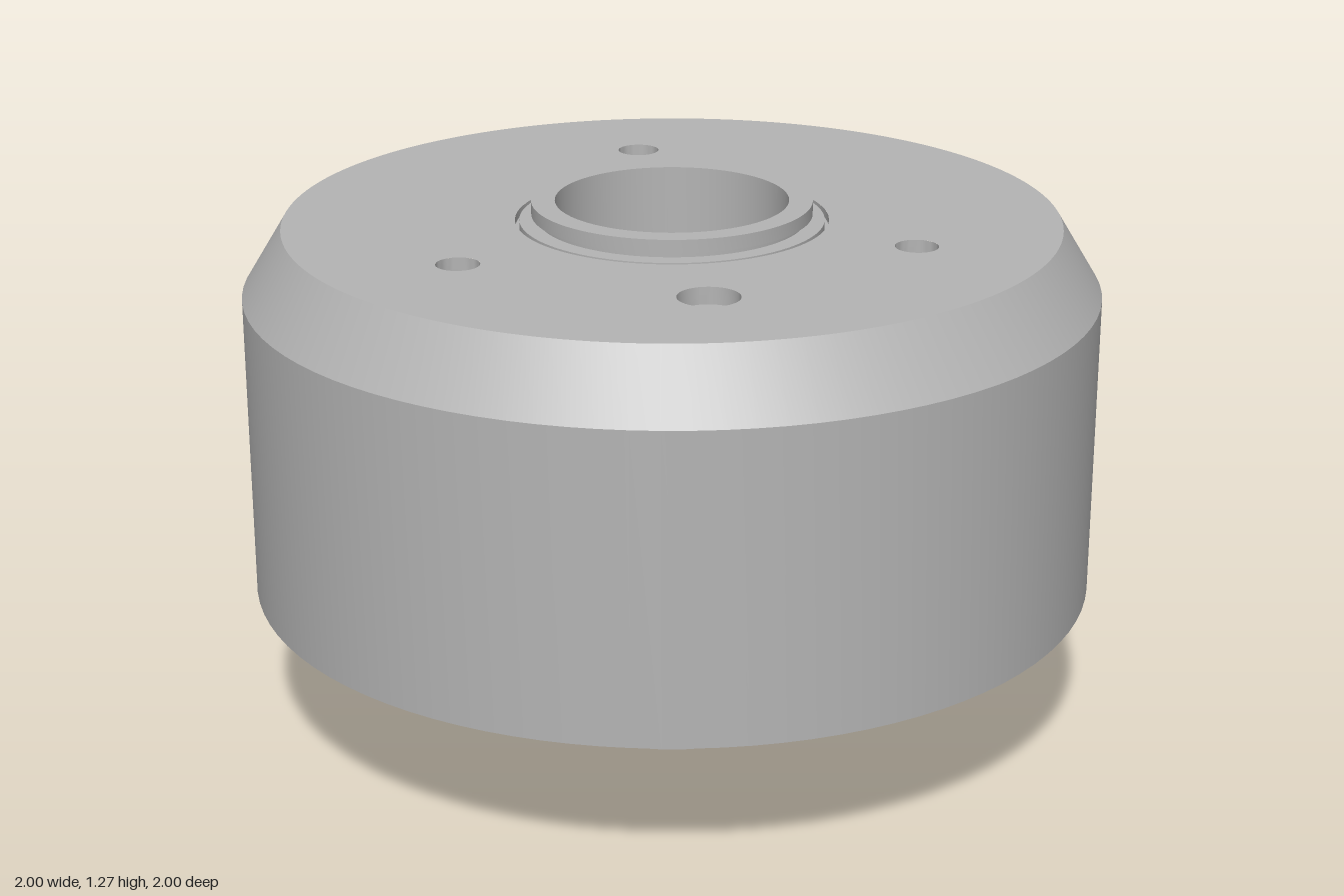
import * as THREE from 'three';
import { toCreasedNormals } from 'three/addons/utils/BufferGeometryUtils.js';

const SEGMENTS = 96;
const TOP = 1.23, RIM = 0.905, GROOVE = 0.365, BORE = 0.272;

export function createModel() {
  const group = new THREE.Group();
  const metal = new THREE.MeshStandardMaterial({ color: 0xb4b4b4 });
  metal.name = 'grey metal';

  function add(name, geometry) {
    const mesh = new THREE.Mesh(geometry, metal);
    mesh.name = name;
    group.add(mesh);
    return mesh;
  }

  // Turned surface from [radius, height] pairs
  function turned(name, profile, segments = SEGMENTS) {
    const points = profile.map(([r, y]) => new THREE.Vector2(r, y));
    return add(name, toCreasedNormals(new THREE.LatheGeometry(points, segments), 0.35));
  }

  // Stem, flat underside, cylindrical wall and sloped rim
  turned('stem', [[BORE, 0], [0.297, 0], [0.297, 0.355]]);
  turned('drumShell', [[0.297, 0.355], [1, 0.355], [1, 1.075], [RIM, TOP]]);

  // Thin groove around the raised, undercut collar
  turned('collar', [
    [GROOVE, TOP], [GROOVE, 1.21], [0.355, 1.21], [0.355, TOP],
    [0.312, TOP], [0.312, 1.24], [0.327, 1.243], [0.327, 1.275], [BORE, 1.275],
  ]);
  turned('bore', [[BORE, 1.275], [BORE, 0]]);

  // Top face pierced by the collar and the four stepped holes
  const holes = [
    { x: 0.02, z: -0.6, r: 0.05 },
    { x: -0.53, z: 0.275, r: 0.05 },
    { x: 0.505, z: 0.32, r: 0.05 },
    { x: -0.025, z: 0.6, r: 0.07 },
  ];
  const face = new THREE.Shape().absarc(0, 0, RIM, 0, Math.PI * 2);
  const cut = (x, z, r) =>
    face.holes.push(new THREE.Path().absarc(x, -z, r, 0, Math.PI * 2, true));
  cut(0, 0, GROOVE);
  holes.forEach(({ x, z, r }) => cut(x, z, r));
  const plate = new THREE.ShapeGeometry(face, SEGMENTS);
  plate.rotateX(-Math.PI / 2).translate(0, TOP, 0);
  add('topFace', plate);

  // Recess walls with a narrower pilot hole in each floor
  holes.forEach(({ x, z, r }, i) => {
    const recess = turned('screwHole' + (i + 1), [
      [r, TOP], [r, 1.19], [0.024, 1.19], [0.024, 1.16], [0, 1.16],
    ], SEGMENTS / 2);
    recess.position.set(x, 0, z);
  });

  return group;
}
